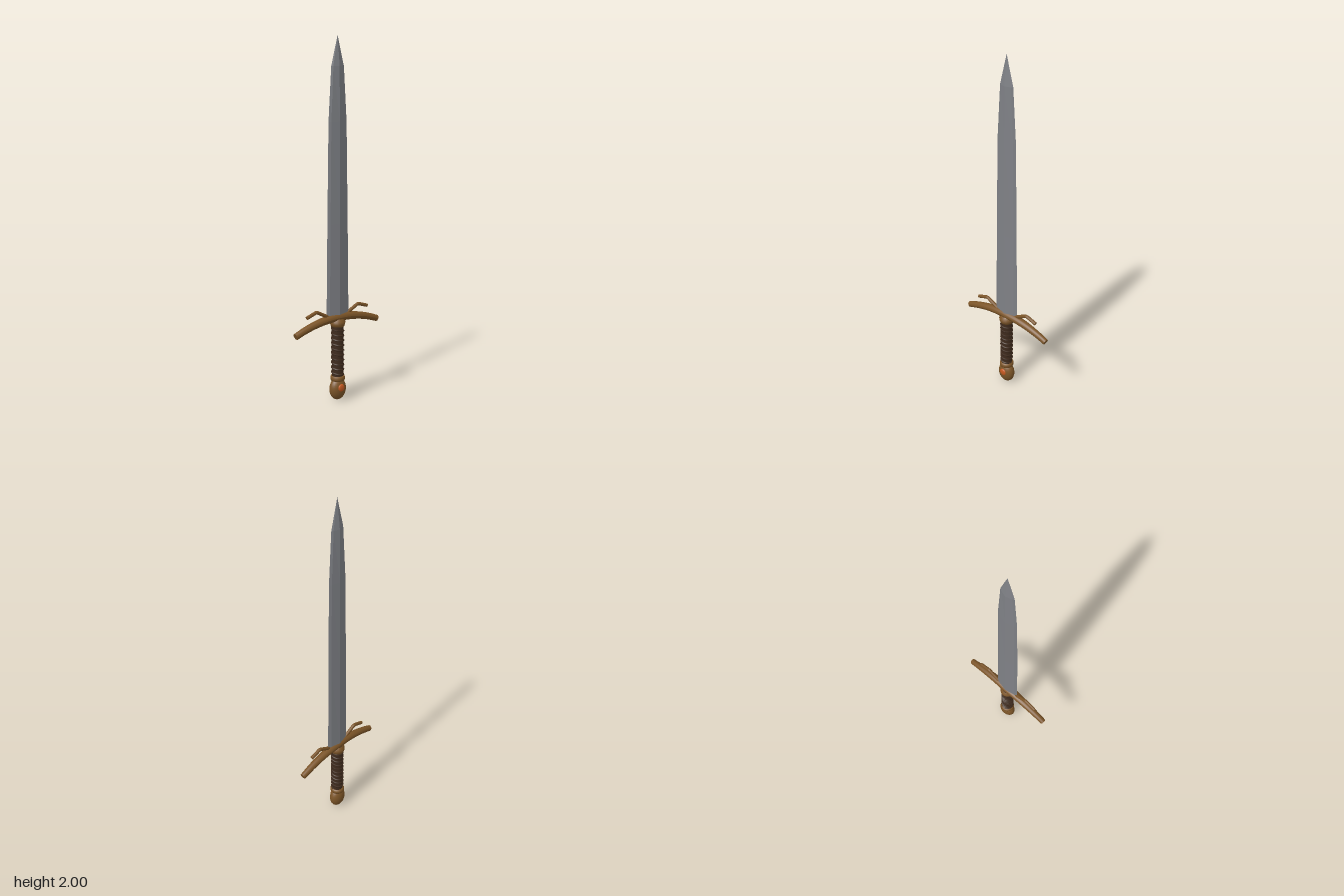
import * as THREE from 'three';

const mat = (name, color) => {
  const m = new THREE.MeshStandardMaterial({ color });
  m.name = name;
  return m;
};

export function createModel() {
  const steel = mat('steel', 0x7f8186);
  const bronze = mat('bronze', 0x7b5427);
  const leather = mat('leather', 0x3f2b1d);
  const amber = mat('amber', 0xc4581f);

  const model = new THREE.Group();
  model.name = 'sword';
  const add = (name, geometry, material, parent = model) => {
    const mesh = new THREE.Mesh(geometry, material);
    mesh.name = name;
    parent.add(mesh);
    return mesh;
  };
  const lathe = (points, segments = 24) =>
    new THREE.LatheGeometry(points.map(([r, y]) => new THREE.Vector2(r, y)), segments);

  // Blade: bevelled diamond sections [y, half width, half thickness], running to a point
  const levels = [[0.47, 0.078, 0.021], [1.0, 0.071, 0.02], [1.55, 0.062, 0.019],
    [1.84, 0.043, 0.017], [2.0, 0, 0]];
  const section = [[1, 0], [0.78, 0.4], [0, 1], [-0.78, 0.4], [-1, 0], [-0.78, -0.4], [0, -1], [0.78, -0.4]];
  const corner = (level, k) => {
    const [y, w, t] = levels[level];
    const [x, z] = section[k % section.length];
    return [x * w, y, z * t];
  };
  const verts = [];
  for (let i = 0; i < levels.length - 1; i++) {
    for (let k = 0; k < section.length; k++) {
      const a = corner(i, k), b = corner(i, k + 1), c = corner(i + 1, k + 1), d = corner(i + 1, k);
      verts.push(...a, ...c, ...b);
      if (i < levels.length - 2) verts.push(...a, ...d, ...c);
    }
  }
  const blade = new THREE.BufferGeometry();
  blade.setAttribute('position', new THREE.Float32BufferAttribute(verts, 3));
  blade.computeVertexNormals();
  add('blade', blade, steel);

  // Crossguard: a tapered rod bent downwards towards both ends
  const guard = new THREE.CylinderGeometry(1, 1, 0.576, 20, 24).rotateZ(-Math.PI / 2);
  const p = guard.attributes.position;
  for (let i = 0; i < p.count; i++) {
    const x = p.getX(i), s = Math.abs(x) / 0.288;
    const tilt = Math.atan(-1.4 * x);
    const v = p.getY(i) * (0.024 - 0.006 * s);
    p.setXYZ(i, x - Math.sin(tilt) * v, 0.477 - 0.7 * x * x + Math.cos(tilt) * v,
      p.getZ(i) * (0.028 - 0.011 * s));
  }
  guard.computeVertexNormals();
  add('crossguard', guard, bronze);

  // Bent prongs rising beside the blade
  for (const side of [-1, 1]) {
    const path = new THREE.CurvePath();
    const pts = [[0.06, 0.485], [0.142, 0.527], [0.152, 0.528], [0.213, 0.508]]
      .map(([x, y]) => new THREE.Vector3(side * x, y, 0));
    for (let i = 0; i < 3; i++) path.add(new THREE.LineCurve3(pts[i], pts[i + 1]));
    const prong = new THREE.Group();
    prong.name = side > 0 ? 'leftProng' : 'rightProng';
    model.add(prong);
    add('prongRod', new THREE.TubeGeometry(path, 24, 0.01, 10), bronze, prong);
    const cap = add('prongEnd', new THREE.CircleGeometry(0.01, 10), bronze, prong);
    cap.position.copy(pts[3]);
    cap.lookAt(pts[3].clone().multiplyScalar(2).sub(pts[2]));
  }

  // Grip with a spiral leather wrap
  add('grip', new THREE.CylinderGeometry(0.034, 0.032, 0.32, 20).translate(0, 0.29, 0), leather);
  const turns = 10, spiral = [];
  for (let i = 0; i <= turns * 12; i++) {
    const a = (i / 12) * Math.PI * 2;
    spiral.push(new THREE.Vector3(Math.cos(a) * 0.033, 0.145 + (0.28 * i) / (turns * 12), Math.sin(a) * 0.033));
  }
  add('gripWrap', new THREE.TubeGeometry(new THREE.CatmullRomCurve3(spiral), 240, 0.005, 6), leather);

  // Collars above and below the grip
  add('upperCollar', lathe([[0.03, 0.425], [0.037, 0.427], [0.042, 0.44], [0.043, 0.455], [0.03, 0.47]]), bronze);
  add('lowerCollar', lathe([[0.03, 0.112], [0.038, 0.114], [0.041, 0.122], [0.041, 0.132], [0.037, 0.14], [0.03, 0.141]]), bronze);

  // Flattened egg-shaped pommel
  const egg = [];
  for (let i = 0; i <= 16; i++) {
    const a = (i / 16) * Math.PI;
    egg.push([Math.max(0, Math.sin(a) * 0.052), 0.064 - 0.064 * Math.cos(a)]);
  }
  add('pommel', lathe(egg).scale(1, 1, 0.73), bronze);

  // Gem set in the front of the pommel
  add('gem', new THREE.SphereGeometry(0.022, 16, 10).scale(1, 1, 0.4).translate(0, 0.075, 0.033), amber);

  return model;
}
